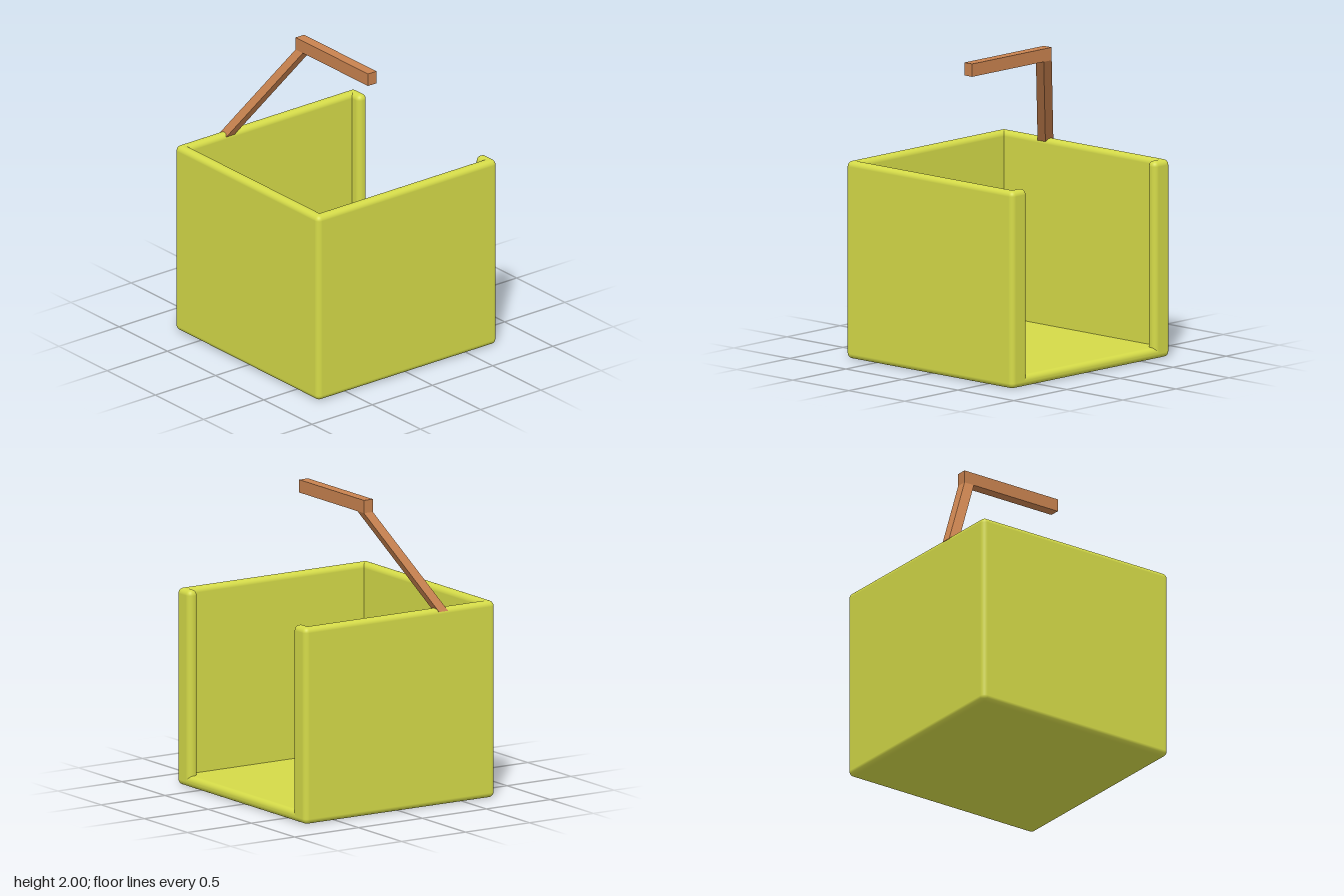
import * as THREE from 'three';
import { RoundedBoxGeometry } from 'three/addons/geometries/RoundedBoxGeometry.js';

const HALF = 0.745, HEIGHT = 1.305, WALL = 0.075, LIP = 0.145, BEVEL = 0.035;

export function createModel() {
  const model = new THREE.Group();
  const green = new THREE.MeshStandardMaterial({ color: 0xd4da48 });
  const brown = new THREE.MeshStandardMaterial({ color: 0xc8824f });

  const add = (parent, name, geometry, material, x, y, z) => {
    const mesh = new THREE.Mesh(geometry, material);
    mesh.name = name;
    mesh.position.set(x, y, z);
    parent.add(mesh);
  };

  // Box with one open side: soft-edged panels of equal thickness
  const bin = new THREE.Group();
  bin.name = 'bin';
  model.add(bin);
  const panel = (name, w, h, d, x, y, z) =>
    add(bin, name, new RoundedBoxGeometry(w, h, d, 5, BEVEL), green, x, y, z);

  const mid = HALF - WALL / 2;
  panel('floor', 2 * HALF, WALL, 2 * HALF, 0, WALL / 2, 0);
  panel('closedSideWall', WALL, HEIGHT, 2 * HALF, -mid, HEIGHT / 2, 0);
  for (const [side, s] of [['front', 1], ['back', -1]]) {
    panel(side + 'Wall', 2 * HALF, HEIGHT, WALL, 0, HEIGHT / 2, s * mid);
    // Narrow return at the edge of the opening
    panel(side + 'Lip', WALL, HEIGHT, LIP, mid, HEIGHT / 2, s * (HALF - LIP / 2));
  }

  // Overhead arm
  const arm = new THREE.Group();
  arm.name = 'arm';
  model.add(arm);
  add(arm, 'horizontalBar', new THREE.BoxGeometry(0.07, 0.085, 0.75), brown, 0, 1.9575, 0);

  // Slanted strut: an upright bar sheared towards the rim of the back wall
  const top = 1.915, bottom = 1.285, length = top - bottom;
  const strut = new THREE.BoxGeometry(0.07, length, 0.075);
  strut.translate(0, -length / 2, 0);
  const p = strut.attributes.position;
  for (let i = 0; i < p.count; i++) {
    const y = p.getY(i);
    p.setX(i, p.getX(i) + y * 0.536);
    p.setZ(i, p.getZ(i) + y * 0.59);
  }
  strut.computeVertexNormals();
  add(arm, 'slantedStrut', strut, brown, 0, top, -0.3375);

  return model;
}
